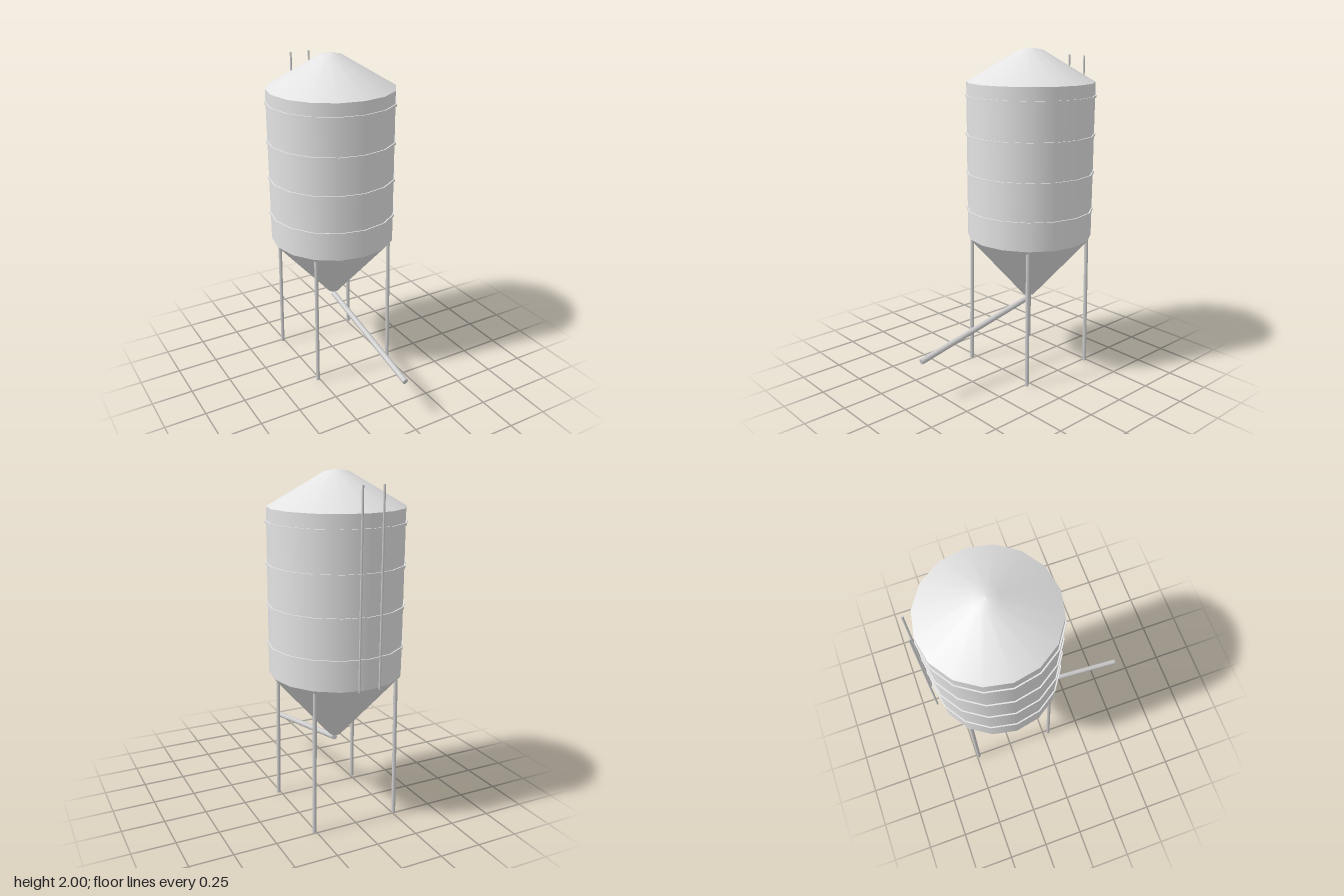
import * as THREE from 'three';

const SIDES = 16;
const RADIUS = 0.385;
const CENTRE_Z = -0.226;

export function createModel() {
  const model = new THREE.Group();
  const galvanised = new THREE.MeshStandardMaterial({ color: 0xe3e3e3 });
  galvanised.name = 'galvanised sheet';
  const steel = new THREE.MeshStandardMaterial({ color: 0xd0d0d0 });
  steel.name = 'dull steel';

  const add = (name, geometry, material, parent) => {
    const mesh = new THREE.Mesh(geometry, material);
    mesh.name = name;
    parent.add(mesh);
    return mesh;
  };

  // Straight pipe between two points
  const pipe = (name, from, to, radius, sides, parent) => {
    const a = new THREE.Vector3(...from);
    const b = new THREE.Vector3(...to);
    const mesh = add(name, new THREE.CylinderGeometry(radius, radius, a.distanceTo(b), sides), steel, parent);
    mesh.position.copy(a).lerp(b, 0.5);
    mesh.quaternion.setFromUnitVectors(new THREE.Vector3(0, 1, 0), b.sub(a).normalize());
    return mesh;
  };

  const silo = new THREE.Group();
  silo.name = 'silo';
  silo.position.z = CENTRE_Z;
  model.add(silo);

  // Straight wall
  add('wall', new THREE.CylinderGeometry(RADIUS, RADIUS, 0.943, SIDES, 1, true), galvanised, silo)
    .position.y = 1.3315;

  // Conical roof with a blunt peak
  const roofProfile = [[RADIUS, 1.803], [0.07, 1.988], [0, 2]]
    .map(([r, y]) => new THREE.Vector2(r, y));
  add('roof', new THREE.LatheGeometry(roofProfile, SIDES), galvanised, silo);

  // Discharge hopper
  add('hopper', new THREE.CylinderGeometry(RADIUS, 0.035, 0.4, SIDES), galvanised, silo)
    .position.y = 0.66;

  // Flat stiffening bands around the wall
  for (const y of [1.03, 1.26, 1.49, 1.72]) {
    add('band', new THREE.CylinderGeometry(0.393, 0.393, 0.014, SIDES), galvanised, silo)
      .position.y = y;
  }

  // Four legs, splayed slightly outwards
  for (const sx of [-1, 1]) {
    for (const sz of [-1, 1]) {
      pipe('leg', [sx * 0.262, 0, sz * 0.262], [sx * 0.254, 0.84, sz * 0.254], 0.012, 8, silo);
    }
  }

  // Ladder rails up the back
  for (const sx of [-1, 1]) {
    pipe('ladderRail', [sx * 0.062, 0.86, -0.401], [sx * 0.062, 1.945, -0.401], 0.006, 6, silo);
  }

  // Unloading auger, sloping down to the front
  pipe('auger', [0, 0.26, 0.629], [0, 0.432, -0.222], 0.0175, 8, model);

  return model;
}
